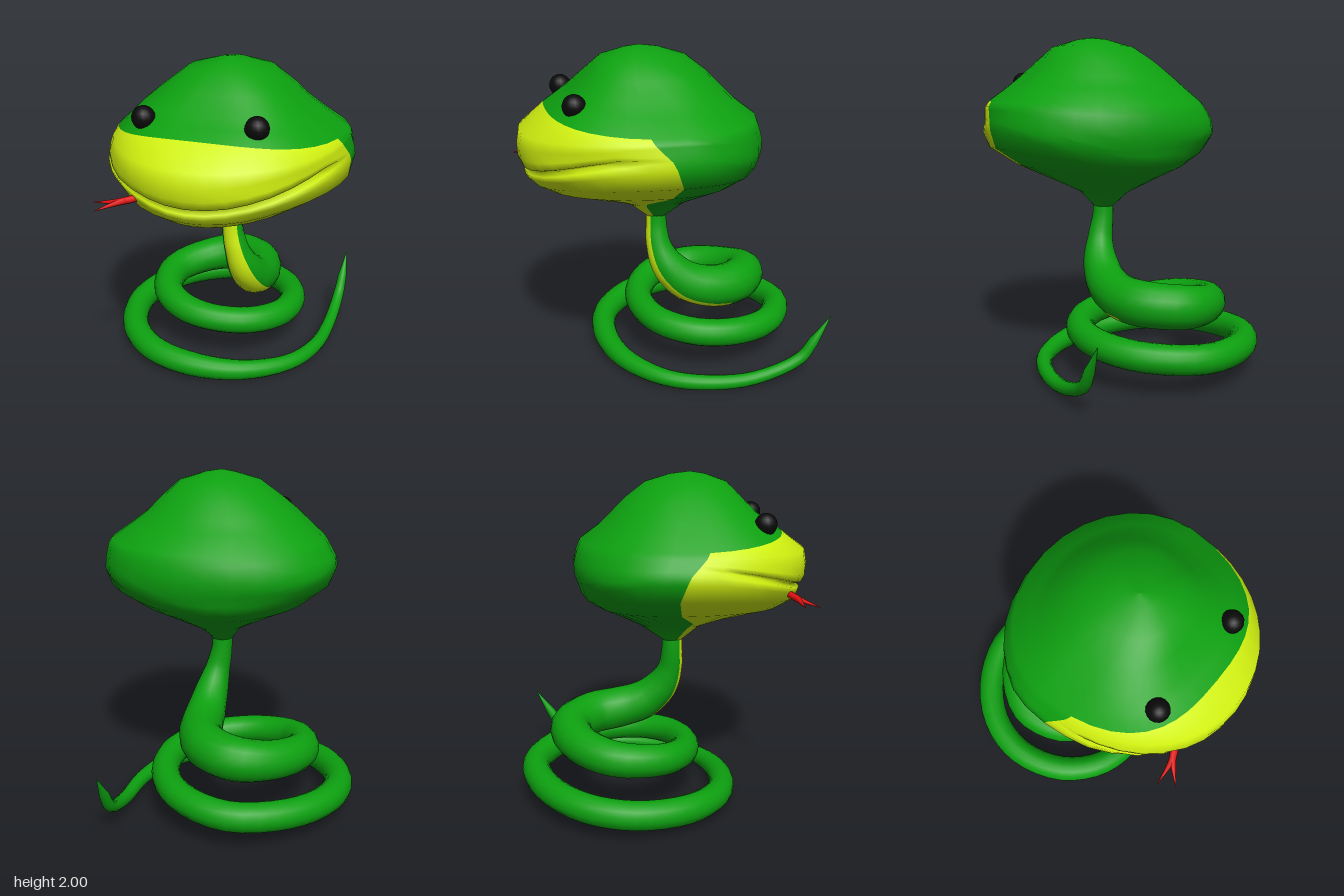
import * as THREE from 'three';

const green = new THREE.MeshStandardMaterial({ color: 0x0da010 });
const yellow = new THREE.MeshStandardMaterial({ color: 0xd0f010 });
const red = new THREE.MeshStandardMaterial({ color: 0xe01010 });
const black = new THREE.MeshStandardMaterial({ color: 0x0a0a0a });

// Closed-ring surface: point(i, j) gives each vertex, pick(i, j) sends a face to the second index.
function skin(rows, cols, point, pick = () => false) {
  const pos = [], index = [[], []];
  for (let i = 0; i < rows; i++) {
    for (let j = 0; j < cols; j++) {
      pos.push(...point(i, j));
      if (i === rows - 1) continue;
      const k = (j + 1) % cols, a = i * cols;
      index[pick(i, j) ? 1 : 0].push(a + j, a + k, a + cols + j, a + k, a + cols + k, a + cols + j);
    }
  }
  const whole = new THREE.BufferGeometry();
  whole.setAttribute('position', new THREE.Float32BufferAttribute(pos, 3));
  whole.setIndex([...index[0], ...index[1]]);
  whole.computeVertexNormals();
  return index.map((list) => {
    const g = new THREE.BufferGeometry();
    g.setAttribute('position', whole.attributes.position);
    g.setAttribute('normal', whole.attributes.normal);
    g.setIndex(list);
    return g;
  });
}

// Tapered tube through [x, y, z, radius]; the normal starts at +z and is carried along the path.
function taperedTube(path, steps, sides, pick) {
  const curve = new THREE.CatmullRomCurve3(path.map((p) => new THREE.Vector3(p[0], p[1], p[2])));
  const total = (path.length - 1) * steps;
  const n = new THREE.Vector3(0, 0, 1);
  const frames = [];
  for (let i = 0; i <= total; i++) {
    const c = curve.getPoint(i / total), t = curve.getTangent(i / total);
    n.addScaledVector(t, -n.dot(t)).normalize();
    const k = Math.min(Math.floor(i / steps), path.length - 2);
    const r = THREE.MathUtils.lerp(path[k][3], path[k + 1][3], i / steps - k);
    frames.push({ c, r, n: n.clone(), b: t.clone().cross(n) });
  }
  return skin(total + 1, sides, (i, j) => {
    const f = frames[i], a = (j / sides) * Math.PI * 2;
    return f.c.clone().addScaledVector(f.n, f.r * Math.cos(a)).addScaledVector(f.b, f.r * Math.sin(a)).toArray();
  }, pick);
}

// Head sections: y, xRight, xLeft, zFront, zBack, zWidest, zColourEdge, frontSquareness
const sections = [
  [0.97, 0.0, 0.12, 0.13, 0.0, 0.06, 0.09, 1],
  [1.06, -0.07, 0.2, 0.24, -0.13, 0.06, 0.15, 1],
  [1.13, -0.22, 0.35, 0.42, -0.25, 0.06, 0.18, 1],
  [1.2, -0.38, 0.5, 0.72, -0.39, 0.06, 0.12, 1],
  [1.27, -0.52, 0.65, 0.83, -0.49, 0.06, 0.08, 1],
  [1.36, -0.61, 0.77, 0.86, -0.52, 0.06, 0.08, 1],
  [1.42, -0.645, 0.78, 0.88, -0.54, 0.06, 0.1, 1],
  [1.5, -0.63, 0.77, 0.875, -0.54, 0.06, 0.14, 1],
  [1.6, -0.57, 0.745, 0.85, -0.5, 0.06, 0.24, 0.9],
  [1.67, -0.49, 0.64, 0.7, -0.4, 0.06, 0.25, 0.8],
  [1.76, -0.39, 0.52, 0.57, -0.31, 0.08, 0.25, 0.7],
  [1.85, -0.28, 0.43, 0.48, -0.22, 0.1, 0.25, 0.75],
  [1.94, -0.16, 0.33, 0.39, -0.1, 0.14, 0.25, 0.9],
  [1.985, 0.0, 0.18, 0.26, 0.05, 0.16, 0.21, 1],
  [2.0, 0.08, 0.08, 0.17, 0.17, 0.17, 0.17, 1],
];
function sectionAt(y) {
  let k = 0;
  while (k < sections.length - 2 && y > sections[k + 1][0]) k++;
  const a = sections[k], b = sections[k + 1];
  const f = THREE.MathUtils.clamp((y - a[0]) / (b[0] - a[0]), 0, 1);
  return a.map((v, i) => v + (b[i] - v) * f);
}

// Head rows: base y, rise toward the sides, rise at the front, mouth inset
const headRows = [
  [0.97, 0, 0, 0], [1.06, 0, 0, 0], [1.13, 0, 0, 0], [1.2, 0.04, 0, 0], [1.25, 0.1, 0, 0],
  [1.285, 0.17, 0, 0], [1.315, 0.185, 0, 0.005], [1.335, 0.19, 0, 0.06], [1.35, 0.19, 0, 0.005],
  [1.4, 0.155, 0, 0], [1.47, 0.1, 0, 0], [1.54, 0.045, 0.01, 0], [1.6, 0.01, 0.065, 0],
  [1.69, 0, 0.02, 0], [1.76, 0, 0, 0], [1.85, 0, 0, 0], [1.94, 0, 0, 0], [1.985, 0, 0, 0], [2.0, 0, 0, 0],
];
const FRONT = 18, BACK = 16, EDGE_ROW = 12;

function headPoint(i, j) {
  const [base, sideRise, frontRise, inset] = headRows[i];
  const s0 = sectionAt(base + sideRise);
  const ratio = s0[3] > s0[5] ? THREE.MathUtils.clamp((s0[6] - s0[5]) / (s0[3] - s0[5]), 0, 0.8) : 0;
  const edge = Math.acos(Math.pow(ratio, 1 / s0[7]));
  const t = j <= FRONT
    ? -edge + (2 * edge * j) / FRONT
    : edge + ((2 * Math.PI - 2 * edge) * (j - FRONT)) / BACK;
  const sin = Math.sin(t), cos = Math.cos(t);
  const y = base + sideRise * sin * sin + frontRise * Math.max(0, cos) ** 2;
  const [, x0, x1, zf, zb, zc, , square] = sectionAt(y);
  const p = cos > 0 ? square : 1;
  const dent = 1 - inset * THREE.MathUtils.smoothstep(cos, 0.3, 0.5);
  const dx = ((x1 - x0) / 2) * Math.sign(sin) * Math.abs(sin) ** p * dent;
  const dz = cos > 0 ? (zf - zc) * cos ** p : (zc - zb) * cos;
  return [(x0 + x1) / 2 + dx, y, zc + dz * dent];
}

// Body from neck through two coils to the raised tail tip
const bodyPath = [
  [0.06, 1.04, 0.065, 0.06], [0.065, 0.9, 0.065, 0.065], [0.09, 0.77, 0.055, 0.078], [0.12, 0.64, 0.0, 0.105],
  [0.14, 0.53, -0.12, 0.125], [0.14, 0.48, -0.28, 0.133], [0.08, 0.465, -0.45, 0.135], [-0.1, 0.45, -0.57, 0.13],
  [-0.31, 0.42, -0.5, 0.115], [-0.47, 0.39, -0.28, 0.105], [-0.42, 0.36, -0.02, 0.095], [-0.25, 0.33, 0.11, 0.09],
  [-0.05, 0.31, 0.14, 0.085], [0.18, 0.29, 0.06, 0.085], [0.33, 0.27, -0.14, 0.085], [0.34, 0.25, -0.4, 0.085],
  [0.2, 0.23, -0.65, 0.085], [-0.1, 0.21, -0.795, 0.085], [-0.42, 0.19, -0.69, 0.085], [-0.64, 0.17, -0.45, 0.085],
  [-0.7, 0.15, -0.17, 0.085], [-0.6, 0.13, 0.13, 0.085], [-0.38, 0.11, 0.32, 0.08], [-0.1, 0.09, 0.37, 0.075],
  [0.2, 0.07, 0.3, 0.062], [0.45, 0.055, 0.1, 0.05], [0.56, 0.05, -0.15, 0.045], [0.59, 0.06, -0.42, 0.04],
  [0.6, 0.16, -0.7, 0.036], [0.605, 0.27, -0.78, 0.03], [0.61, 0.43, -0.88, 0.001],
];

export function createModel() {
  const model = new THREE.Group();
  const add = (name, geometry, material) => {
    const mesh = new THREE.Mesh(geometry, material);
    mesh.name = name;
    model.add(mesh);
    return mesh;
  };

  // Body, with the yellow throat running down to the first coil
  const [bodyGeo, throatGeo] = taperedTube(bodyPath, 4, 16, (i, j) => i < 22 && (j < 2 || j >= 14));
  add('body', bodyGeo, green);
  add('throat', throatGeo, yellow);

  // Head, with the yellow muzzle and mouth crease
  const [skullGeo, muzzleGeo] = skin(headRows.length, FRONT + BACK, headPoint, (i, j) => i < EDGE_ROW && j < FRONT);
  add('head', skullGeo, green);
  add('muzzle', muzzleGeo, yellow);

  // Eyes
  for (const [name, side] of [['rightEye', -1], ['leftEye', 1]]) {
    add(name, new THREE.SphereGeometry(0.065, 16, 12), black).position.set(0.055 + side * 0.315, 1.725, 0.58);
  }

  // Forked tongue hanging from the right of the mouth
  for (const [name, tip] of [['tongueBackFork', [-0.48, 1.29, 0.785, 0.001]], ['tongueFrontFork', [-0.43, 1.28, 0.88, 0.001]]]) {
    const path = [[-0.2, 1.335, 0.7, 0.018], [-0.31, 1.31, 0.76, 0.02], tip];
    add(name, taperedTube(path, 4, 8)[0], red);
  }
  return model;
}
